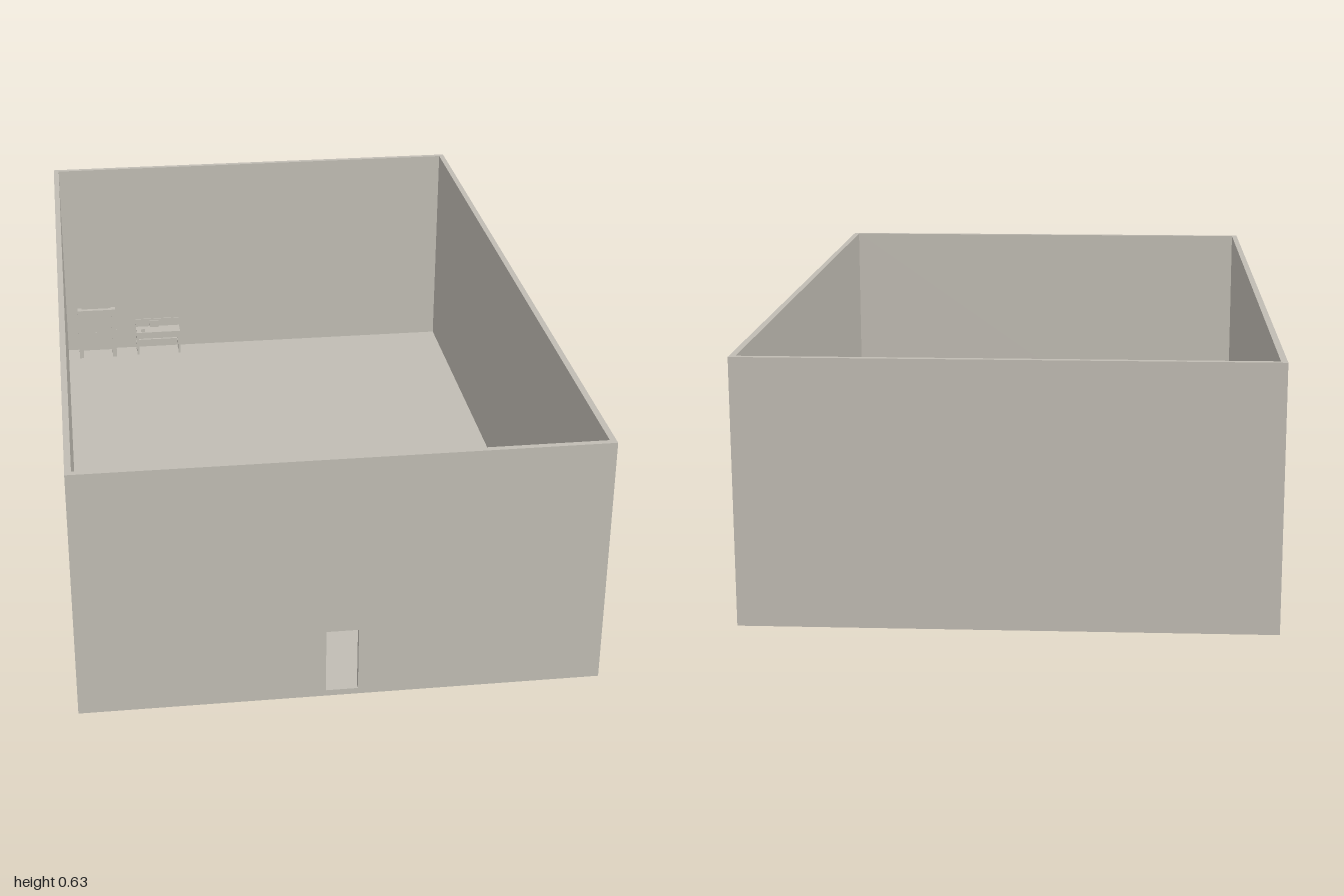
import * as THREE from 'three';

const stone = new THREE.MeshStandardMaterial({ color: 0xc0bcb3 });
stone.name = 'warm grey';

// Box given by its min and max corners
function block(parent, name, [x0, y0, z0], [x1, y1, z1]) {
  const mesh = new THREE.Mesh(new THREE.BoxGeometry(x1 - x0, y1 - y0, z1 - z0), stone);
  mesh.position.set((x0 + x1) / 2, (y0 + y1) / 2, (z0 + z1) / 2);
  mesh.name = name;
  parent.add(mesh);
  return mesh;
}

function group(parent, name) {
  const g = new THREE.Group();
  g.name = name;
  parent.add(g);
  return g;
}

export function createModel() {
  const model = new THREE.Group();
  model.name = 'room';
  const W = 0.617, H = 0.627, D = 1, T = 0.015;

  // Floor slab, side walls and back wall
  block(model, 'floor', [-W, 0, -D], [W, T, D]);
  block(model, 'rightWall', [-W, T, -D], [-W + T, H, D]);
  block(model, 'leftWall', [W - T, T, -D], [W, H, D]);
  block(model, 'backWall', [-W + T, T, -D], [W - T, H, -D + T]);

  // Front wall with the doorway cut through
  const wall = new THREE.Shape([
    [-W + T, T], [-0.039, T], [-0.039, 0.177], [0.037, 0.177],
    [0.037, T], [W - T, T], [W - T, H], [-W + T, H],
  ].map(([x, y]) => new THREE.Vector2(x, y)));
  const front = new THREE.Mesh(
    new THREE.ExtrudeGeometry(wall, { depth: T, bevelEnabled: false }), stone);
  front.position.z = D - T;
  front.name = 'frontWall';
  model.add(front);

  // Standing board between two posts
  const board = group(model, 'standingBoard');
  block(board, 'boardPanel', [-0.56, 0.04, -0.936], [-0.455, 0.178, -0.922]);
  for (const x of [-0.567, -0.461]) {
    block(board, 'boardPost', [x, T, -0.94], [x + 0.013, 0.18, -0.918]);
  }
  block(board, 'boardKnob', [-0.514, 0.1, -0.922], [-0.508, 0.104, -0.918]);
  block(board, 'boardHook', [-0.448, 0.1, -0.932], [-0.444, 0.106, -0.926]);

  // Desk: top, four legs, side and back rails
  const desk = group(model, 'desk');
  const x0 = -0.382, x1 = -0.242, z0 = -0.975, z1 = -0.923, leg = 0.007;
  block(desk, 'deskTop', [x0, 0.084, z0], [x1, 0.092, z1]);
  for (const x of [x0, x1 - leg]) {
    for (const z of [z0, z1 - leg]) {
      block(desk, 'deskLeg', [x, T, z], [x + leg, 0.084, z + leg]);
    }
    block(desk, 'sideRail', [x, 0.04, z0 + leg], [x + leg, 0.047, z1 - leg]);
  }
  block(desk, 'backRail', [x0 + leg, 0.04, z0], [x1 - leg, 0.047, z0 + leg]);

  // Upright panel along the back of the desk and the things on the desk
  block(desk, 'deskBackPanel', [x0, 0.092, z0], [x1, 0.118, z0 + 0.003]);
  block(desk, 'smallSign', [-0.337, 0.092, -0.968], [-0.308, 0.114, -0.964]);
  block(desk, 'cup', [-0.367, 0.092, -0.94], [-0.355, 0.102, -0.928]);

  return model;
}
